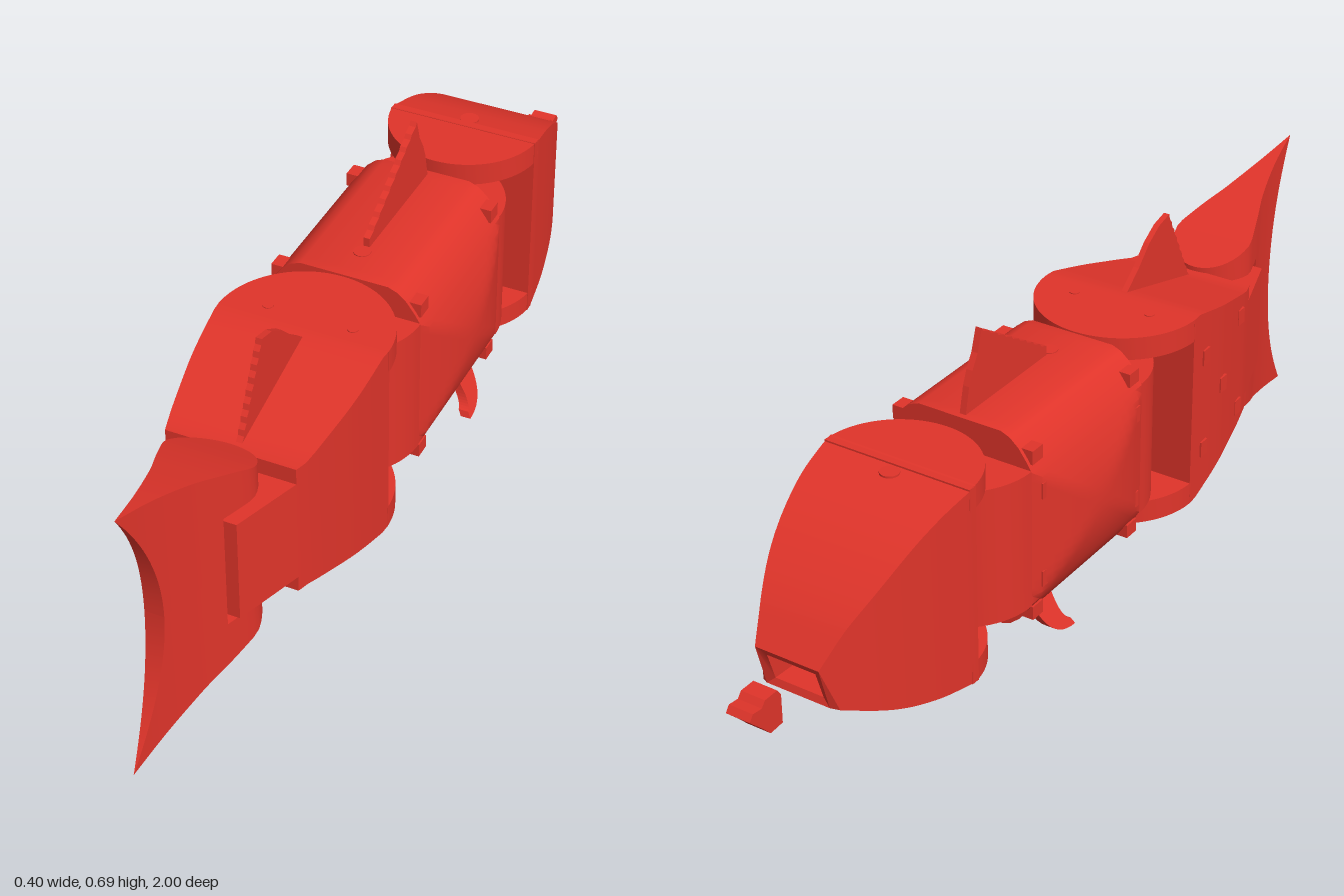
import * as THREE from 'three';
import { toCreasedNormals } from 'three/addons/utils/BufferGeometryUtils.js';

const MID = 0.31; // height of the horizontal symmetry plane
const flip = y => 2 * MID - y;

export function createModel() {
  const model = new THREE.Group();
  const red = new THREE.MeshStandardMaterial({ color: 0xe0342a, side: THREE.DoubleSide });

  const add = (name, geo, parent = model) => {
    const mesh = new THREE.Mesh(geo, red);
    mesh.name = name;
    parent.add(mesh);
  };

  // Skin a list of rings (counter-clockwise seen from +z, ordered along +z)
  const loft = rings => {
    const pos = [], n = rings[0].length, last = rings.length - 1;
    const tri = (...p) => p.forEach(q => pos.push(...q));
    for (let i = 0; i < last; i++) for (let j = 0; j < n; j++) {
      const k = (j + 1) % n, A = rings[i], B = rings[i + 1];
      tri(A[j], A[k], B[k]);
      tri(A[j], B[k], B[j]);
    }
    for (let j = 1; j < n - 1; j++) {
      tri(rings[0][0], rings[0][j + 1], rings[0][j]);
      tri(rings[last][0], rings[last][j], rings[last][j + 1]);
    }
    const g = new THREE.BufferGeometry();
    g.setAttribute('position', new THREE.Float32BufferAttribute(pos, 3));
    return toCreasedNormals(g, 0.5);
  };
  const rect = (w, y0, y1, z) => [[w, y0, z], [w, y1, z], [-w, y1, z], [-w, y0, z]];
  const range = (a, b, n) => Array.from({ length: n + 1 }, (_, i) => a + (b - a) * i / n);

  // Smooth curve through [z, value] points, returned as a function of z
  const curve = pts => z => {
    let i = 0;
    while (i < pts.length - 2 && z > pts[i + 1][0]) i++;
    const slope = k => {
      const a = pts[Math.max(k - 1, 0)], b = pts[Math.min(k + 1, pts.length - 1)];
      return (b[1] - a[1]) / (b[0] - a[0]);
    };
    const [z0, v0] = pts[i], [z1, v1] = pts[i + 1], h = z1 - z0;
    const t = THREE.MathUtils.clamp((z - z0) / h, 0, 1), t2 = t * t, t3 = t2 * t;
    return (2 * t3 - 3 * t2 + 1) * v0 + (t3 - 2 * t2 + t) * h * slope(i)
      + (3 * t2 - 2 * t3) * v1 + (t3 - t2) * h * slope(i + 1);
  };

  // Half-round slab from the arc centre c outwards (dir = -1 or 1 along z)
  const roundEnd = (c, r, dir, y0, y1) => {
    const rings = range(0, Math.PI / 2, 20).map(a => rect(r * Math.cos(a), y0, y1, c + dir * r * Math.sin(a)));
    return loft(dir < 0 ? rings.reverse() : rings);
  };

  // Flat plate of thickness t, drawn in side view with the shape's x as -z
  const outline = pts => new THREE.Shape(pts.map(([z, y]) => new THREE.Vector2(-z, y)));
  const plate = (shape, t) => new THREE.ExtrudeGeometry(shape, { depth: t, bevelEnabled: false })
    .translate(0, 0, -t / 2).rotateY(Math.PI / 2);

  // Head, with a hollow mouth in the snout
  const head = new THREE.Group();
  head.name = 'head';
  model.add(head);
  const headW = curve([[-0.86, 0.07], [-0.74, 0.122], [-0.62, 0.15], [-0.51, 0.165]]);
  const headTop = curve([[-0.855, 0.295], [-0.8, 0.368], [-0.7, 0.45], [-0.6, 0.502], [-0.49, 0.53]]);
  const headLow = curve([[-0.83, 0.2], [-0.7, 0.142], [-0.6, 0.112], [-0.49, 0.093]]);
  const snout = (w, y0, y1, z0, z1) => [[w, y0, z0], [w, y1, z1], [-w, y1, z1], [-w, y0, z0]];
  add('headShell', loft([
    rect(0.05, 0.215, 0.275, -0.74),
    snout(0.055, 0.215, 0.278, -0.825, -0.845),
    snout(0.072, 0.2, 0.297, -0.83, -0.857),
    ...range(-0.82, -0.49, 22).map(z => rect(headW(z), headLow(z), headTop(z), z)),
  ]), head);
  add('headUpperHinge', roundEnd(-0.51, 0.165, 1, 0.48, 0.529), head);
  add('headLowerHinge', roundEnd(-0.51, 0.165, 1, 0.094, 0.14), head);

  // Loose jaw block in front of the mouth
  add('jaw', plate(outline([[-0.91, 0.2], [-0.945, 0.198], [-0.965, 0.22], [-1, 0.255], [-0.99, 0.268],
    [-0.965, 0.265], [-0.955, 0.277], [-0.92, 0.277], [-0.91, 0.262]]), 0.054));

  // Middle segment: bulging sides, rounded shoulders, round tongues at both ends
  const middle = new THREE.Group();
  middle.name = 'middleBody';
  model.add(middle);
  const midRing = z => {
    const u = Math.abs((z + 0.105) / 0.2);
    const half = range(-1, 1, 16).map(v =>
      [0.165 + 0.035 * (1 - Math.max(u, Math.abs(v)) ** 2), MID + 0.15 * v, z]);
    const shoulder = [[0.153, 0.48, z], [0.135, 0.505, z], [0.115, 0.522, z], [0.095, 0.53, z]];
    const right = [...shoulder.map(([x, y]) => [x, flip(y), z]).reverse(), ...half, ...shoulder];
    return [...right, ...right.map(([x, y]) => [-x, y, z]).reverse()];
  };
  add('middleShell', loft(range(-0.305, 0.095, 16).map(midRing)), middle);
  add('frontTongue', roundEnd(-0.305, 0.165, -1, 0.157, 0.463), middle);
  add('rearTongue', roundEnd(0.095, 0.165, 1, 0.157, 0.463), middle);
  for (const x of [-0.145, 0.145]) for (const z of [-0.28, 0.07]) for (const y of [0.487, flip(0.487)])
    add('coverClip', new THREE.BoxGeometry(0.035, 0.03, 0.035).translate(x, y, z), middle);

  // Rear segment with front hinge plates and a tongue for the tail
  const rear = new THREE.Group();
  rear.name = 'rearBody';
  model.add(rear);
  const rearW = curve([[0.275, 0.18], [0.4, 0.171], [0.5, 0.155], [0.56, 0.143], [0.6, 0.13], [0.735, 0.085]]);
  const rearTop = z => z < 0.3 ? 0.53 : 0.53 - 0.07 * Math.min((z - 0.3) / 0.26, 1);
  const box = (z, top) => rect(rearW(z), flip(top), top, z);
  add('rearShell', loft([
    ...[0.275, 0.3, ...range(0.34, 0.56, 8), 0.585].map(z => box(z, rearTop(z))),
    ...range(0.585, 0.73, 8).map(z => box(z, 0.425)),
  ]), rear);
  add('rearUpperHinge', roundEnd(0.28, 0.18, -1, 0.48, 0.53), rear);
  add('rearLowerHinge', roundEnd(0.28, 0.18, -1, 0.09, 0.14), rear);

  // Tail: two mirrored blades with a rounded hub, meeting behind the tongue
  const tail = new THREE.Group();
  tail.name = 'tail';
  model.add(tail);
  const tailTop = curve([[0.58, 0.47], [0.68, 0.518], [0.8, 0.563], [0.9, 0.594], [1, 0.62]]);
  const taper = curve([[0.67, 0.09], [0.74, 0.066], [0.8, 0.044], [0.9, 0.018], [1, 0]]);
  const tailW = z => z < 0.67 ? Math.sqrt(Math.max(0, 0.09 ** 2 - (0.67 - z) ** 2)) : taper(z);
  const trailing = z => MID + 0.31 * Math.sqrt(Math.max(0, 1 - (1 - z) / 0.11));
  const blade = [
    ...range(0, 1, 14).map(t => 0.58 + 0.16 * t * t).map(z => [z, 0.44]),
    ...range(0.74, 0.89, 10).map(z => [z, MID]),
    ...range(0, 1, 16).slice(1).map(t => 0.89 + 0.11 * t * t).map(z => [z, Math.min(trailing(z), tailTop(z))]),
  ];
  add('upperTailBlade', loft(blade.map(([z, y]) => rect(tailW(z), y, tailTop(z), z))), tail);
  add('lowerTailBlade', loft(blade.map(([z, y]) => rect(tailW(z), flip(tailTop(z)), flip(y), z))), tail);

  // Hinge spacers between the segments, above and below
  for (const [z, y, h, r] of [[-0.395, 0.471, 0.022, 0.05], [0.19, 0.471, 0.022, 0.055], [0.65, 0.432, 0.02, 0.05]])
    for (const py of [y, flip(y)])
      add('hingeSpacer', new THREE.CylinderGeometry(r, r, h, 32).translate(0, py, z));

  // Fins with a stepped edge from a to b, closed by the remaining points
  const stepped = (a, b, n, rest) => {
    const at = t => [a[0] + (b[0] - a[0]) * t, a[1] + (b[1] - a[1]) * t];
    const pts = [];
    for (let i = 0; i < n; i++) {
      const p = at(i / n), q = at((i + 0.75) / n);
      pts.push(p, [q[0], p[1] + (q[1] - p[1]) * 0.6]);
    }
    return outline([...pts, b, ...rest]);
  };
  add('middleDorsalFin', plate(stepped([-0.01, 0.55], [-0.235, 0.692], 9,
    [[-0.25, 0.645], [-0.268, 0.615], [-0.28, 0.585], [-0.295, 0.52], [-0.01, 0.52]]), 0.014));
  add('rearDorsalFin', plate(stepped([0.56, 0.46], [0.47, 0.64], 8,
    [[0.43, 0.63], [0.39, 0.605], [0.35, 0.565], [0.3, 0.525], [0.33, 0.49], [0.54, 0.44]]), 0.013)
    .translate(0.006, 0, 0));
  add('rearVentralFin', plate(outline([[0.56, 0.16], [0.52, 0.135], [0.5, 0.115], [0.475, 0.1], [0.465, 0.065],
    [0.43, 0.068], [0.38, 0.08], [0.3, 0.098], [0.33, 0.13], [0.54, 0.18]]), 0.013).translate(0.006, 0, 0));

  // Splayed pectoral fins, curving towards the tail
  const fin = new THREE.Shape();
  fin.moveTo(0.18, 0.135);
  fin.lineTo(0.25, 0.135);
  fin.quadraticCurveTo(0.252, 0.035, 0.16, 0.035);
  fin.lineTo(0.165, 0.048);
  fin.quadraticCurveTo(0.195, 0.06, 0.18, 0.135);
  for (const side of [-1, 1]) {
    const g = plate(fin, 0.022), p = g.attributes.position;
    for (let i = 0; i < p.count; i++) p.setX(i, p.getX(i) + side * (0.13 + (0.092 - p.getY(i)) * 0.55));
    g.computeVertexNormals();
    add(side > 0 ? 'leftPectoralFin' : 'rightPectoralFin', g);
  }

  // Pivot caps and screws on top and underneath
  for (const [x, z, r, y] of [[0, -0.53, 0.02, 0.523], [0, 0.01, 0.018, 0.53],
    [-0.09, 0.245, 0.011, 0.53], [0.09, 0.245, 0.011, 0.53]])
    for (const py of [y, flip(y)])
      add('screwCap', new THREE.CylinderGeometry(r, r, 0.004, 20).translate(x, py, z));

  // Small latch plates on the right-hand side covers
  for (const [z, y, x] of [[-0.27, 0.41, 0.172], [-0.27, 0.21, 0.172], [0.06, 0.41, 0.172], [0.06, 0.21, 0.172],
    [0.33, 0.42, 0.177], [0.33, 0.2, 0.177], [0.52, 0.42, 0.151], [0.52, 0.2, 0.151], [0.42, 0.31, 0.169]])
    add('latchPlate', new THREE.BoxGeometry(0.008, 0.035, 0.025).translate(-x, y, z));

  return model;
}
